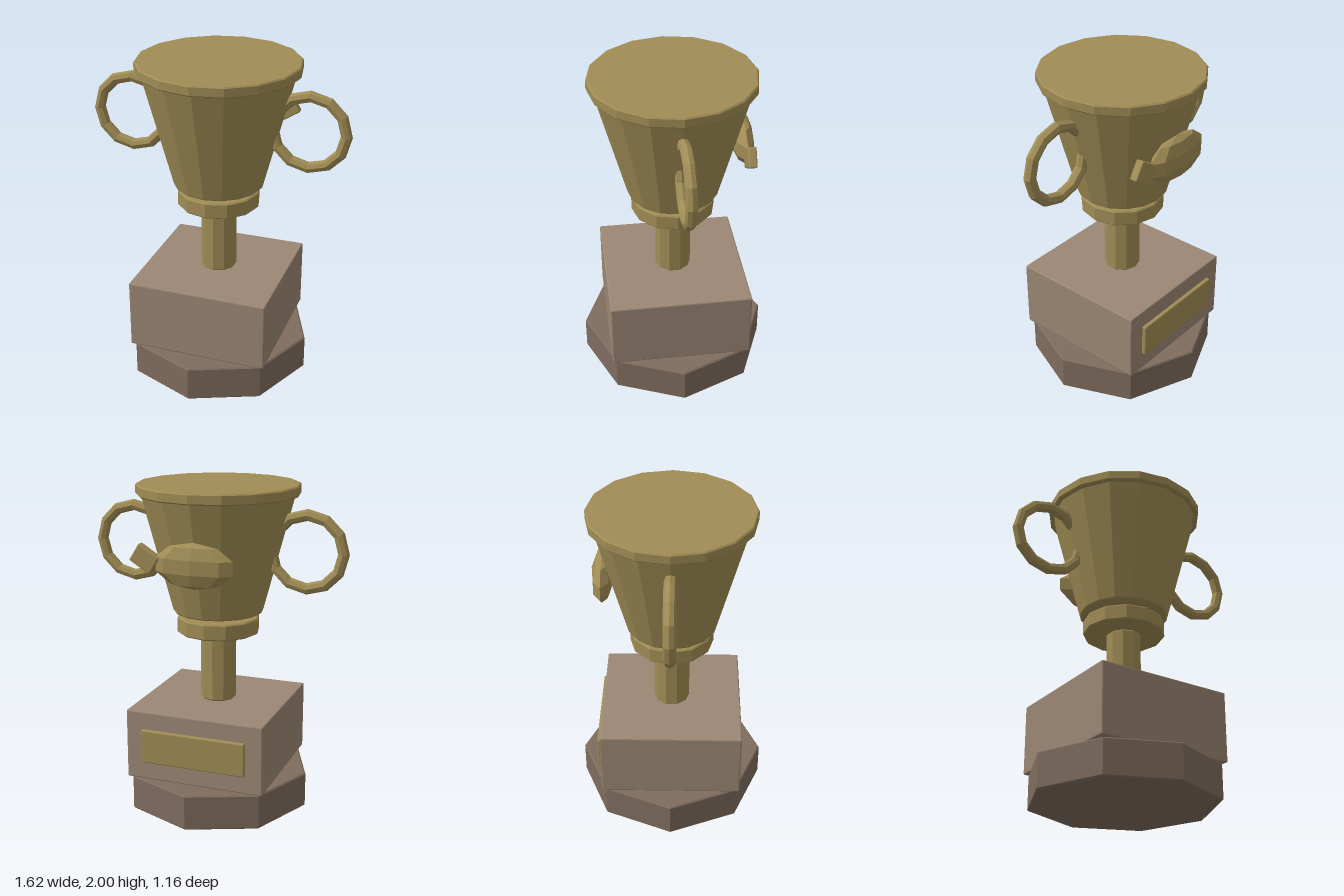
import * as THREE from 'three';
import { RoundedBoxGeometry } from 'three/addons/geometries/RoundedBoxGeometry.js';

const mat = (color) => new THREE.MeshStandardMaterial({ color, flatShading: true });

// Faceted drum or cone with a small bevel on both edges; one corner points to +z
function drum(rBottom, rTop, y0, y1, sides, b = 0.008) {
  const profile = [[0, y0], [rBottom - b, y0], [rBottom, y0 + b], [rTop, y1 - b], [rTop - b, y1], [0, y1]];
  return new THREE.LatheGeometry(profile.map(([r, y]) => new THREE.Vector2(r, y)), sides);
}

const block = (w, h, d) => new RoundedBoxGeometry(w, h, d, 1, 0.008);

export function createModel() {
  const model = new THREE.Group();
  model.name = 'trophy';
  const gold = mat(0xa08c55);
  const wood = mat(0x9b8774);
  const darkWood = mat(0x7f6c5e);

  const add = (name, geometry, material, x = 0, y = 0, z = 0) => {
    const mesh = new THREE.Mesh(geometry, material);
    mesh.name = name;
    mesh.position.set(x, y, z);
    model.add(mesh);
    return mesh;
  };

  // Stand: octagonal foot, square block and back plaque
  add('foot', drum(0.58, 0.58, 0, 0.22, 8), darkWood);
  add('block', block(0.87, 0.435, 0.87), wood, 0, 0.4425, 0);
  add('plaque', block(0.66, 0.21, 0.05), gold, 0, 0.445, -0.435);

  // Stem and collar, with a narrow gap under the cup
  add('stem', drum(0.11, 0.11, 0.66, 1.09, 10), gold);
  add('collar', drum(0.255, 0.255, 1.09, 1.19, 12), gold);

  // Cup with a closed rim
  add('cup', drum(0.277, 0.465, 1.22, 1.945, 16), gold);
  add('rim', drum(0.495, 0.495, 1.935, 2, 16), gold);

  // Ring handles
  for (const side of [1, -1]) {
    add(side > 0 ? 'leftHandle' : 'rightHandle', new THREE.TorusGeometry(0.22, 0.035, 8, 12), gold, side * 0.555, 1.62, 0);
  }

  // Fish ornament on the back of the cup
  const body = add('fishBody', new THREE.SphereGeometry(1, 8, 5), gold, 0, 1.575, -0.405);
  body.scale.set(0.25, 0.137, 0.068);
  const tail = add('fishTail', block(0.15, 0.12, 0.05), gold, 0.3, 1.6, -0.405);
  tail.rotation.z = 0.56;

  return model;
}
